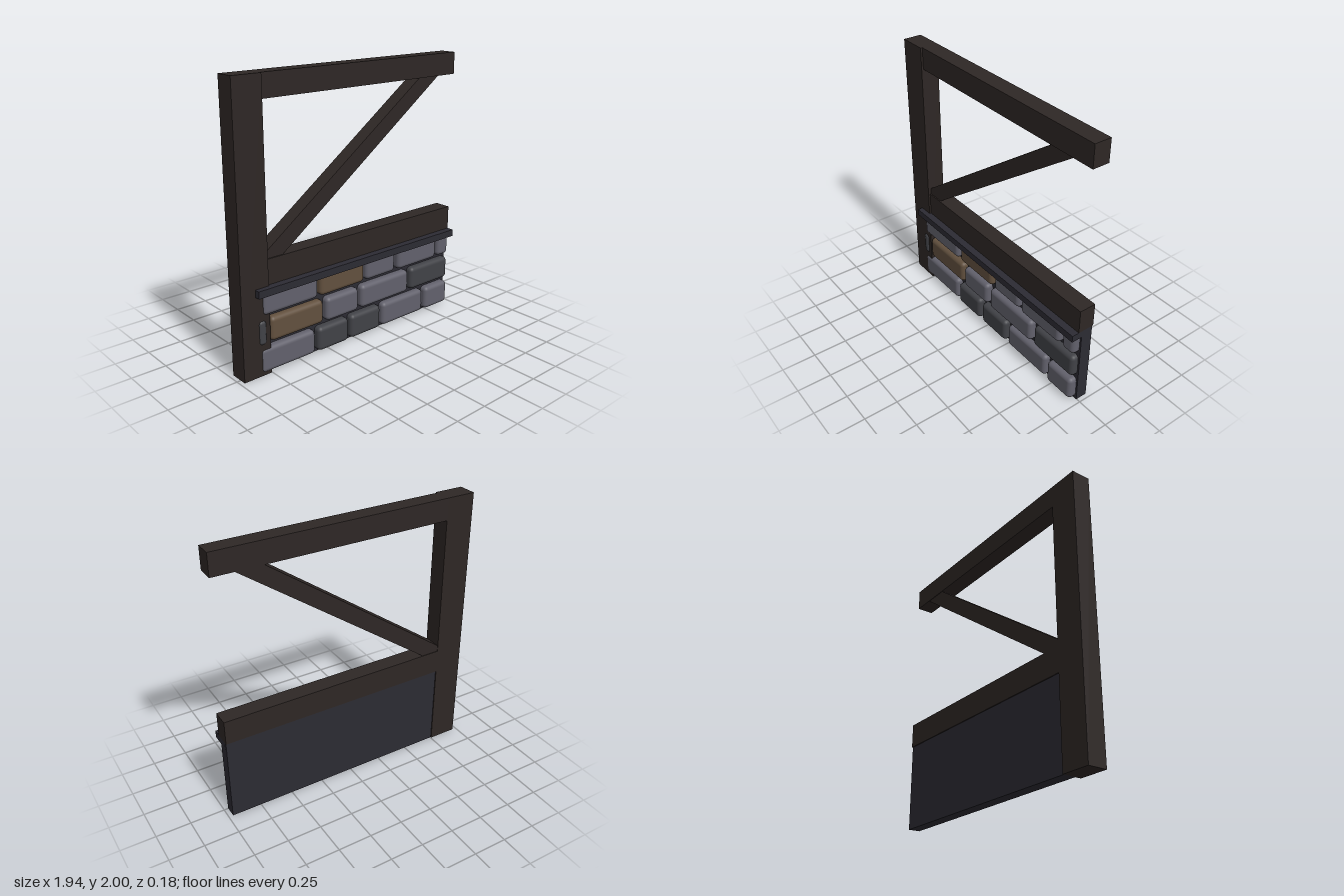
import * as THREE from 'three';
import { RoundedBoxGeometry } from 'three/addons/geometries/RoundedBoxGeometry.js';

const mat = (color) => new THREE.MeshStandardMaterial({ color });

export function createModel() {
  const model = new THREE.Group();
  const wood = mat(0x2e2725);
  const mortar = mat(0x2c2b33);
  const stones = { light: mat(0x62616c), dark: mat(0x414247), brown: mat(0x62503e) };

  const add = (name, geometry, material, parent = model) => {
    const mesh = new THREE.Mesh(geometry, material);
    mesh.name = name;
    parent.add(mesh);
    return mesh;
  };
  // Box given by its limits on each axis
  const block = (name, material, x0, x1, y0, y1, z0, z1) =>
    add(name, new THREE.BoxGeometry(x1 - x0, y1 - y0, z1 - z0), material)
      .position.set((x0 + x1) / 2, (y0 + y1) / 2, (z0 + z1) / 2);

  // Timber frame
  block('post', wood, -0.97, -0.755, 0, 2, -0.09, 0.048);
  block('topBeam', wood, -0.755, 0.97, 1.84, 2, -0.09, 0.034);
  block('middleBeam', wood, -0.755, 0.97, 0.63, 0.808, -0.09, 0.034);

  // Diagonal brace, cut to fit the post and both beams
  const outline = [[-0.755, 0.808], [-0.62, 0.808], [0.81, 1.84], [0.615, 1.84], [-0.755, 0.855]];
  const shape = new THREE.Shape(outline.map(([x, y]) => new THREE.Vector2(x, y)));
  const brace = new THREE.ExtrudeGeometry(shape, { depth: 0.111, bevelEnabled: false });
  add('brace', brace.translate(0, 0, -0.086), wood);

  // Wall panel and its sill
  block('wallPanel', mortar, -0.76, 0.968, 0, 0.63, -0.083, 0.004);
  block('sill', mortar, -0.86, 0.97, 0.578, 0.63, -0.07, 0.088);

  // Courses of stones: y limits, then [x0, x1, kind] for each stone
  const courses = [
    [0.015, 0.195, [[-0.835, -0.38, 'light'], [-0.355, -0.08, 'dark'], [-0.055, 0.235, 'dark'],
      [0.26, 0.685, 'light'], [0.71, 0.955, 'light']]],
    [0.225, 0.4, [[-0.845, -0.785, 'dark'], [-0.75, -0.305, 'brown'], [-0.28, 0.015, 'light'],
      [0.045, 0.52, 'light'], [0.55, 0.955, 'dark']]],
    [0.43, 0.595, [[-0.81, -0.355, 'light'], [-0.33, 0.07, 'brown'], [0.095, 0.38, 'light'],
      [0.41, 0.815, 'light'], [0.84, 0.955, 'light']]],
  ];
  const wall = new THREE.Group();
  wall.name = 'stones';
  model.add(wall);
  courses.forEach(([y0, y1, row], r) => row.forEach(([x0, x1, kind], i) => {
    const front = 0.056 + 0.003 * ((r + i * 2) % 3); // slightly uneven faces
    const w = x1 - x0;
    const depth = front + 0.06;
    const geometry = new RoundedBoxGeometry(w, y1 - y0, depth, 3, Math.min(0.032, w * 0.4));
    add('stone', geometry, stones[kind], wall).position.set((x0 + x1) / 2, (y0 + y1) / 2, front - depth / 2);
  }));

  return model;
}
